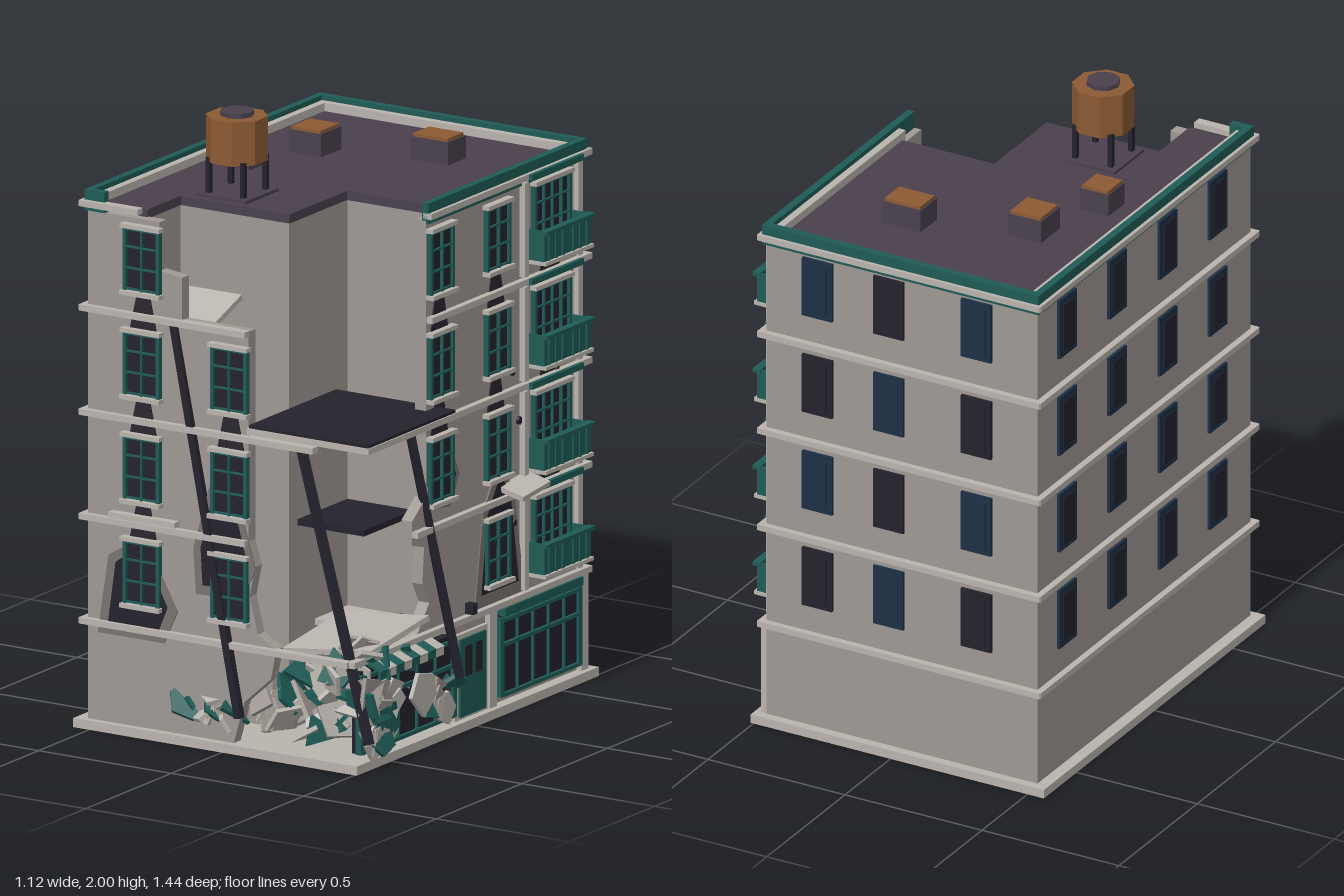
import * as THREE from 'three';

const mat = (color, side = THREE.FrontSide) => new THREE.MeshStandardMaterial({ color, side, flatShading: true, roughness: 0.9 });
const M = {
  wall: mat(0xa09994), trim: mat(0xbab4ae), rim: mat(0x78736f), dark: mat(0x24222c), roof: mat(0x4a404d),
  teal: mat(0x1f5b56), brown: mat(0x8c5a33), navy: mat(0x1d2f45), soot: mat(0x2a2730),
};
const FLOOR = 0.343;          // storey height
const X0 = -0.52, X1 = 0.47, Z1 = 0.68;

function add(parent, name, geo, m, x = 0, y = 0, z = 0) {
  const mesh = new THREE.Mesh(geo, m);
  mesh.name = name;
  mesh.position.set(x, y, z);
  parent.add(mesh);
  return mesh;
}
// box given by its min and max corners
const block = (p, name, m, x0, x1, y0, y1, z0, z1) =>
  add(p, name, new THREE.BoxGeometry(x1 - x0, y1 - y0, z1 - z0), m, (x0 + x1) / 2, (y0 + y1) / 2, (z0 + z1) / 2);
const shapeOf = pts => new THREE.Shape(pts.map(p => new THREE.Vector2(p[0], p[1])));
const plate = (pts, depth) => new THREE.ExtrudeGeometry(shapeOf(pts), { depth, bevelEnabled: false });
// horizontal slab from an (x, z) outline
const slab = (pts, depth) => plate(pts.map(([x, z]) => [x, -z]), depth).rotateX(-Math.PI / 2);
// square beam between two points
function beam(p, name, m, a, b, t) {
  const A = new THREE.Vector3(...a), B = new THREE.Vector3(...b);
  const mesh = add(p, name, new THREE.BoxGeometry(t, t, A.distanceTo(B)), m);
  mesh.position.copy(A).lerp(B, 0.5);
  mesh.lookAt(B);
}
// facade group: local x runs along the wall, local z points outward
function face(p, name, x, z, turn) {
  const g = new THREE.Group();
  g.name = name;
  g.position.set(x, 0, z);
  g.rotation.y = turn;
  p.add(g);
  return g;
}

function sootMark(f, u, y, w = 0.1) {
  add(f, 'sootMark', plate([[u - w / 2, y], [u + w / 2, y], [u + w / 5, y + 0.135], [u - w / 5, y + 0.135]], 0.004), M.soot);
}
// framed window with mullions, lintel and sill; y is the bottom
function framedWindow(f, u, y, w = 0.125, h = 0.205, cols = 2) {
  const g = new THREE.Group();
  g.name = 'window';
  g.position.set(u, y, 0);
  f.add(g);
  block(g, 'glass', M.dark, -w / 2, w / 2, 0, h, -0.01, 0.008);
  for (let i = 0; i <= cols; i++) {
    const x = -w / 2 + w * i / cols, t = i % cols ? 0.003 : 0.006;
    block(g, 'frameUpright', M.teal, x - t, x + t, 0, h, 0, 0.018);
  }
  [0.005, h * 0.36, h * 0.7, h - 0.005].forEach(yy => block(g, 'frameRail', M.teal, -w / 2, w / 2, yy - 0.003, yy + 0.003, 0, 0.016));
  block(g, 'lintel', M.trim, -w / 2 - 0.012, w / 2 + 0.012, h, h + 0.014, 0, 0.026);
  block(g, 'sill', M.trim, -w / 2 - 0.012, w / 2 + 0.012, -0.014, 0, 0, 0.03);
}
// blasted hole: broken rim around a dark core
function blastHole(f, pts) {
  const cx = pts.reduce((s, p) => s + p[0], 0) / pts.length, cy = pts.reduce((s, p) => s + p[1], 0) / pts.length;
  add(f, 'brokenRim', plate(pts, 0.005), M.rim);
  add(f, 'holeCore', plate(pts.map(([x, y]) => [cx + (x - cx) * 0.75, cy + (y - cy) * 0.82]), 0.007), M.dark);
}
function balcony(f, u, y) {
  block(f, 'balconyFloor', M.trim, u - 0.14, u + 0.14, y - 0.012, y, 0, 0.08);
  block(f, 'balconyPanel', M.teal, u - 0.135, u + 0.135, y, y + 0.095, 0.062, 0.07);
  block(f, 'balconyRail', M.teal, u - 0.14, u + 0.14, y + 0.09, y + 0.102, 0.058, 0.085);
  for (const s of [-1, 1]) {
    block(f, 'balconySide', M.teal, u + s * 0.132 - 0.004, u + s * 0.132 + 0.004, y, y + 0.1, 0, 0.07);
    for (let i = 0; i < 3; i++) block(f, 'baluster', M.teal, u + s * (0.03 + i * 0.04) - 0.004, u + s * (0.03 + i * 0.04) + 0.004, y, y + 0.095, 0.066, 0.075);
  }
}
function awning(f, u0, u1, n) {
  const w = (u1 - u0) / n;
  for (let i = 0; i < n; i++) {
    const m = i % 2 ? M.trim : M.teal;
    const s = add(f, 'awningStripe', new THREE.BoxGeometry(w, 0.008, 0.075), m, u0 + w * (i + 0.5), 0.335, 0.035);
    s.rotation.x = 0.4;
    block(f, 'awningValance', m, u0 + w * i, u0 + w * (i + 1), 0.295, 0.325, 0.062, 0.068);
  }
}
function cornices(f, spans) {
  spans.forEach(([a, b], i) => block(f, 'cornice', M.trim, a, b, 0.343 + i * FLOOR, 0.363 + i * FLOOR, -0.01, 0.022));
}

export function createModel() {
  const root = new THREE.Group();
  root.name = 'ruinedApartmentBlock';

  // plinth and standing body, with the collapsed corner left out
  block(root, 'plinth', M.trim, -0.56, 0.51, 0, 0.03, -0.71, 0.705);
  const outline = [[X0, -Z1], [X1, -Z1], [X1, 0.11], [0.09, 0.11], [0.09, 0.45], [-0.32, 0.45], [-0.32, Z1], [X0, Z1]];
  add(root, 'body', slab(outline, 1.67), M.wall, 0, 0.03, 0);
  add(root, 'roof', slab([[-0.5, -0.66], [0.45, -0.66], [0.45, 0.12], [0.095, 0.12], [0.095, 0.455], [-0.315, 0.455], [-0.315, 0.65], [-0.5, 0.65]], 0.03), M.roof, 0, 1.695, 0);

  const front = face(root, 'frontFacade', 0, Z1, 0);
  const right = face(root, 'shopFacade', X1, 0, Math.PI / 2);
  const back = face(root, 'backFacade', 0, -Z1, Math.PI);
  const left = face(root, 'sideFacade', X0, 0, -Math.PI / 2);

  // thin broken walls beside the collapse
  add(front, 'brokenFrontWall', plate([[-0.32, 0.03], [0.03, 0.03], [0.07, 0.17], [0.17, 0.26], [0.19, 0.36], [0.12, 0.4], [0.09, 0.52], [0.11, 0.62], [0.085, 0.7],
    [0.085, 1.39], [-0.165, 1.39], [-0.165, 1.53], [-0.25, 1.54], [-0.25, 1.7], [-0.32, 1.7]], 0.04), M.wall, 0, 0, -0.04);
  add(right, 'brokenShopWall', plate([[-0.11, 0.35], [-0.11, 1.71], [-0.24, 1.71], [-0.24, 0.8], [-0.32, 0.74], [-0.32, 0.66], [-0.25, 0.64],
    [-0.26, 0.52], [-0.22, 0.45], [-0.3, 0.35]], 0.04), M.wall, 0, 0, -0.04);

  // storey cornices
  cornices(front, [[-0.54, 0.47], [-0.54, 0.085], [-0.54, 0.34], [-0.54, 0.085], [-0.54, -0.32]]);
  cornices(right, [[-0.69, 0.7], [-0.32, 0.7], [-0.25, 0.7], [-0.235, 0.7], [-0.24, 0.7]]);
  cornices(back, Array(5).fill([-0.49, 0.54]));
  cornices(left, Array(5).fill([-0.7, 0.7]));

  // parapet: teal outside, plaster inside
  for (const [name, m, o, y1] of [['parapetCap', M.teal, 0, 1.768], ['parapetLining', M.trim, 0.025, 1.752]]) {
    block(root, name, m, -0.53 + o, -0.505 + o, 1.7, y1, -0.69 + o, 0.685 - o);
    block(root, name, m, 0.455 - o, 0.48 - o, 1.7, y1, -0.69 + o, 0.24 - o * 4);
    block(root, name, m, -0.53 + o, 0.48 - o, 1.7, y1, -0.69 + o, -0.665 + o);
  }
  block(root, 'parapetCap', M.teal, -0.53, -0.455, 1.7, 1.768, 0.66, 0.685);

  // street windows, soot and blast holes
  blastHole(front, [[-0.48, 0.32], [-0.44, 0.58], [-0.36, 0.63], [-0.27, 0.59], [-0.18, 0.43], [-0.23, 0.32]]);
  blastHole(front, [[-0.12, 0.65], [-0.06, 0.86], [0.01, 0.89], [0.07, 0.76], [0.115, 0.61], [0.06, 0.51], [-0.11, 0.5]]);
  blastHole(right, [[-0.25, 0.76], [-0.2, 0.98], [-0.12, 0.97], [-0.05, 0.84], [-0.1, 0.74]]);
  blastHole(right, [[0.04, 0.365], [0.09, 0.68], [0.19, 0.83], [0.27, 0.7], [0.33, 0.365]]);
  for (let i = 0; i < 4; i++) {
    const y = 0.435 + i * FLOOR, top = y + 0.215;
    framedWindow(front, -0.31, y);
    if (i < 3) framedWindow(front, 0.02, y);
    if (i > 0) framedWindow(right, -0.165, y);
    framedWindow(right, 0.165, y);
    framedWindow(right, 0.48, y + 0.02, 0.2, 0.2, 4);
    balcony(right, 0.48, y - 0.015);
    block(right, 'balconyHood', M.teal, 0.33, 0.63, top + 0.035, top + 0.055, 0, 0.035);
    for (const u of [0.32, 0.635]) block(right, 'pilaster', M.trim, u - 0.012, u + 0.012, 0.37 + i * FLOOR, 0.68 + i * FLOOR, 0, 0.02);
    if (i < 3) {
      sootMark(front, -0.31, top);
      if (i < 2) sootMark(front, 0.02, top);
      if (i) sootMark(right, -0.165, top);
      sootMark(right, 0.165, top);
      sootMark(right, 0.48, top, 0.15);
    }
    // plain windows on the two rear walls
    for (const [f, us] of [[back, [-0.28, -0.02, 0.3]], [left, [-0.5, -0.18, 0.14, 0.46]]]) us.forEach((u, k) => {
      const [a, b] = (i + k) % 2 ? [M.dark, M.navy] : [M.navy, M.dark];
      block(f, 'rearWindowFrame', f === left ? M.navy : b, u - 0.055, u + 0.055, y + 0.02, y + 0.225, 0, 0.01);
      block(f, 'rearWindowPane', f === left ? M.dark : b, u - 0.035, u + 0.035, y + 0.04, y + 0.205, 0, 0.014);
    });
  }
  [[0.26, 1.1], [0.3, 0.93], [0.16, 0.56], [0.12, 0.18], [0.27, 0.6], [0.52, 1.05]].forEach(([u, y], i) =>
    add(right, 'bulletHole', new THREE.CylinderGeometry(0.014 - i * 0.001, 0.014, 0.01, 7).rotateX(Math.PI / 2), M.dark, u, y, 0.004));

  // ground floor shops
  for (const [u0, u1] of [[0.18, 0.635], [-0.64, -0.1]]) {
    block(right, 'shopGlass', M.dark, u0, u1, 0.05, 0.32, -0.02, 0.01);
    for (let i = 0; i <= 5; i++) {
      const u = u0 + (u1 - u0) * i / 5, t = i % 5 ? 0.003 : 0.01;
      block(right, 'shopMullion', M.teal, u - t, u + t, 0.05, 0.31, 0, 0.02);
    }
    for (const y of [0.055, 0.22, 0.3]) block(right, 'shopRail', M.teal, u0, u1, y - 0.006, y + 0.006, 0, 0.022);
  }
  block(right, 'doorFrame', M.trim, -0.09, 0.1, 0.03, 0.31, 0, 0.014);
  block(right, 'door', M.teal, -0.07, 0.08, 0.04, 0.295, 0, 0.022);
  for (const u of [-0.045, 0.015]) block(right, 'doorPanel', M.dark, u, u + 0.04, 0.17, 0.27, 0.02, 0.024);
  block(right, 'wallLamp', M.dark, -0.01, 0.015, 0.365, 0.4, 0, 0.03);
  for (const u of [0.125, 0.66]) block(right, 'shopPier', M.trim, u - 0.02, u + 0.02, 0.03, 0.345, 0, 0.02);
  awning(right, -0.61, -0.24, 8);
  block(right, 'shopFascia', M.teal, 0.18, 0.635, 0.315, 0.343, 0, 0.03);

  // hanging floors and fallen slabs
  block(root, 'hangingFloor', M.trim, 0.085, 0.545, 1.055, 1.075, 0.17, 0.69);
  block(root, 'hangingFloorTop', M.roof, 0.09, 0.54, 1.075, 1.085, 0.175, 0.685).material = M.dark;
  block(root, 'brokenFloor', M.dark, 0.09, 0.34, 0.69, 0.71, 0.11, 0.4);
  block(root, 'lowerFloor', M.trim, 0.09, 0.43, 0.34, 0.36, 0.11, 0.3);
  const tilted = (name, m, w, d, x, y, z, rx, rz) => {
    add(root, name, new THREE.BoxGeometry(w, 0.018, d), m, x, y, z).rotation.set(rx, 0, rz);
  };
  tilted('fallenCeiling', M.trim, 0.235, 0.22, -0.2, 1.39, 0.56, 0.35, 0);
  tilted('fallenSlab', M.trim, 0.34, 0.34, 0.33, 0.375, 0.43, 0.12, 0.12);
  tilted('looseLedge', M.trim, 0.12, 0.16, 0.5, 0.73, -0.27, 0.1, -0.25);
  tilted('looseLedge', M.trim, 0.25, 0.05, -0.3, 0.72, 0.685, 0, 0);

  // charred beams leaning across the gap
  beam(root, 'charredBeam', M.dark, [-0.195, 1.38, 0.68], [0.06, 0.12, 0.695], 0.025);
  beam(root, 'charredBeam', M.dark, [0.215, 1.05, 0.59], [0.54, 0.1, 0.68], 0.025);
  beam(root, 'charredBeam', M.dark, [0.43, 1.06, 0.285], [0.54, 0.2, 0.15], 0.025);

  // rubble heap of broken plates
  let seed = 7;
  const rnd = () => (seed = (seed * 16807) % 2147483647) / 2147483647;
  const rubble = new THREE.Group();
  rubble.name = 'rubble';
  root.add(rubble);
  for (let i = 0; i < 105; i++) {
    const s = 0.03 + rnd() * 0.045, pts = [];
    const n = 3 + Math.floor(rnd() * 3);
    for (let k = 0; k < n; k++) {
      const a = (k + rnd() * 0.5) / n * Math.PI * 2;
      pts.push([Math.cos(a) * s * 1.1, Math.sin(a) * s]);
    }
    const x = i < 10 ? -0.16 + rnd() * 0.2 : 0.06 + rnd() * 0.43;
    const z = i < 10 ? 0.66 : i < 50 ? 0.1 + rnd() * 0.53 : 0.5 + rnd() * 0.14;
    const peak = i < 10 ? 0.1 : 0.08 + 0.22 * Math.min(1, (x + 0.05) / 0.4);
    const m = [M.teal, M.trim, M.teal, M.wall, M.trim][Math.floor(rnd() * 5)];
    const onStreet = i % 3 === 0 && i >= 10;
    add(rubble, 'rubblePlate', plate(pts, 0.014), m, onStreet ? 0.5 : x, 0.08 + rnd() * (onStreet ? 0.18 : peak), z)
      .rotation.set(rnd() * 3 - 1.5, onStreet ? 1.2 + rnd() * 0.6 : rnd() * 2 - 1, rnd() * 3);
  }

  // roof vents
  for (const [x, z, w, d] of [[0.13, -0.36, 0.14, 0.105], [-0.25, -0.23, 0.12, 0.12], [-0.35, 0.03, 0.105, 0.105]]) {
    block(root, 'ventBox', M.roof, x - w / 2, x + w / 2, 1.72, 1.8, z - d / 2, z + d / 2);
    block(root, 'ventLid', M.brown, x - w / 2 + 0.005, x + w / 2 - 0.005, 1.8, 1.81, z - d / 2 + 0.005, z + d / 2 - 0.005);
  }

  // water tank on legs
  const tank = new THREE.Group();
  tank.name = 'waterTank';
  tank.position.set(-0.18, 0, 0.335);
  root.add(tank);
  block(tank, 'tankPad', M.roof, -0.095, 0.095, 1.72, 1.735, -0.095, 0.095);
  for (const x of [-0.065, 0.065]) for (const z of [-0.065, 0.065])
    block(tank, 'tankLeg', M.dark, x - 0.008, x + 0.008, 1.73, 1.85, z - 0.008, z + 0.008);
  add(tank, 'tankBarrel', new THREE.CylinderGeometry(0.1, 0.1, 0.145, 8).rotateY(Math.PI / 8), M.brown, 0, 1.912, 0);
  add(tank, 'tankLid', new THREE.CylinderGeometry(0.055, 0.055, 0.02, 8), M.roof, 0, 1.99, 0);
  return root;
}
